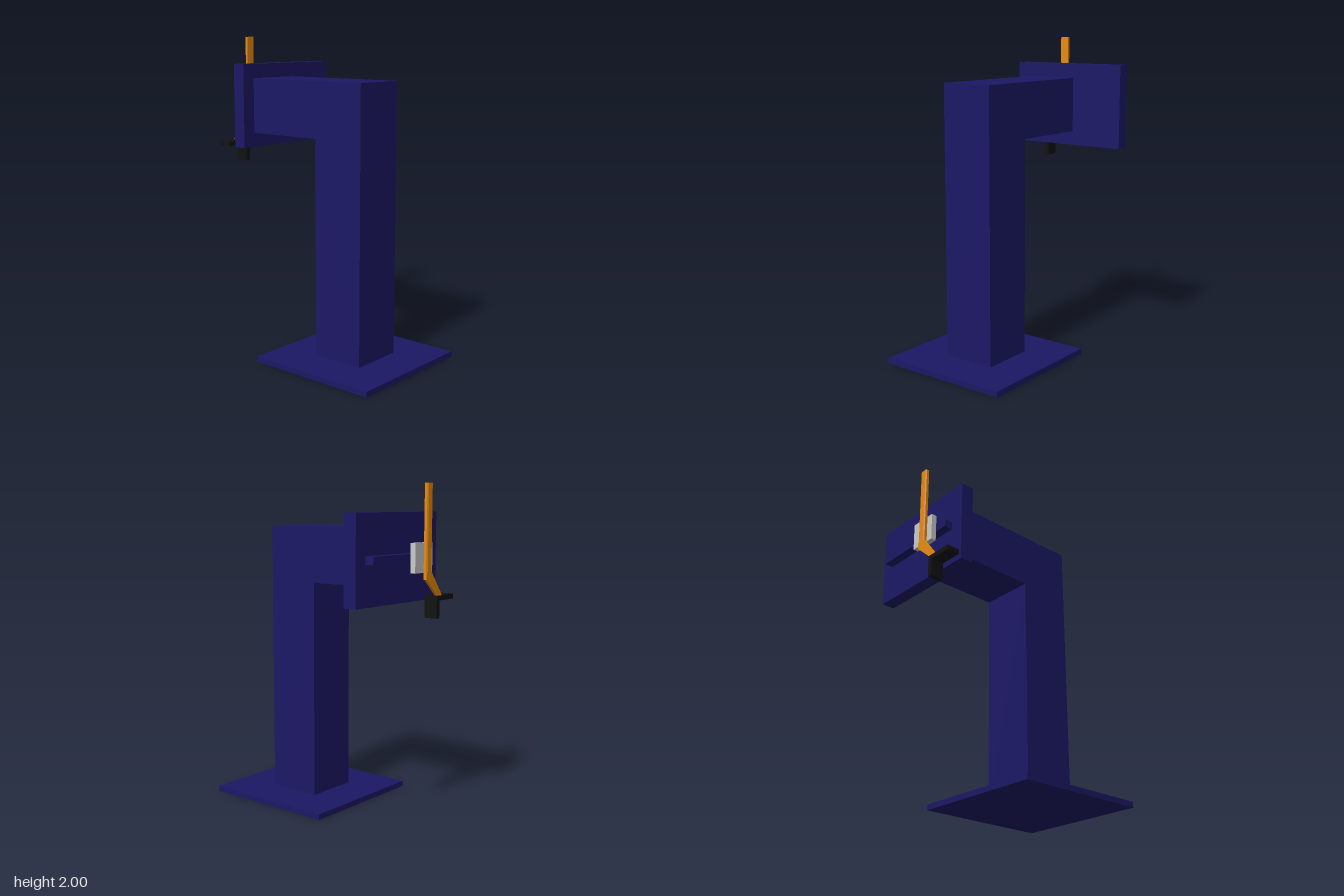
import * as THREE from 'three';

const mat = (color) => new THREE.MeshStandardMaterial({ color, flatShading: true });

export function createModel() {
  const model = new THREE.Group();
  const blue = mat(0x1c1866), orange = mat(0xe88b10), black = mat(0x111111), grey = mat(0xcccccc);

  const add = (name, geometry, material) => {
    const mesh = new THREE.Mesh(geometry, material);
    mesh.name = name;
    model.add(mesh);
    return mesh;
  };
  // box given by its limits along each axis
  const box = (name, material, [x0, x1], [y0, y1], [z0, z1]) =>
    add(name, new THREE.BoxGeometry(x1 - x0, y1 - y0, z1 - z0), material)
      .position.set((x0 + x1) / 2, (y0 + y1) / 2, (z0 + z1) / 2);
  // short cylinder lying along x
  const pin = (name, material, r, [x0, x1], y, z) => {
    const mesh = add(name, new THREE.CylinderGeometry(r, r, x1 - x0, 12), material);
    mesh.rotation.z = Math.PI / 2;
    mesh.position.set((x0 + x1) / 2, y, z);
  };
  const shape = (points) => new THREE.Shape(points.map(([x, y]) => new THREE.Vector2(x, y)));

  // stand: foot, and column with arm as one bent beam
  box('basePlate', blue, [-0.205, 0.665], [0, 0.035], [-0.39, 0.475]);
  const beam = new THREE.ExtrudeGeometry(
    shape([[0.055, 0.035], [0.402, 0.035], [0.402, 1.74], [-0.465, 1.74], [-0.465, 1.395], [0.055, 1.395]]),
    { depth: 0.345, bevelEnabled: false });
  add('columnAndArm', beam, blue).position.z = -0.13;

  // mounting panel with its slide rail
  box('panel', blue, [-0.55, -0.465], [1.305, 1.83], [-0.48, 0.303]);
  box('rail', blue, [-0.605, -0.55], [1.545, 1.592], [-0.395, 0.213]);

  // carriage and its rollers above and below the rail
  box('carriage', grey, [-0.641, -0.607], [1.48, 1.655], [-0.045, 0.13]);
  for (const y of [1.526, 1.61])
    for (const z of [-0.012, 0.096]) pin('roller', grey, 0.009, [-0.61, -0.598], y, z);
  pin('pivot', black, 0.022, [-0.655, -0.635], 1.567, 0.062);

  // upright rod with chamfered corners and a dark cap
  const section = shape([[-0.667, -0.045], [-0.662, -0.035], [-0.645, -0.035], [-0.645, -0.09],
    [-0.662, -0.09], [-0.667, -0.08]]);
  const rod = (y0, y1) => {
    const g = new THREE.ExtrudeGeometry(section, { depth: y1 - y0, bevelEnabled: false });
    return g.rotateX(-Math.PI / 2).translate(0, y0, 0);
  };
  add('rod', rod(1.44, 1.996), orange);
  add('rodCap', rod(1.996, 2), black);

  // slanted brace, drawn in z and y, then turned to stand across x
  const brace = new THREE.ExtrudeGeometry(
    shape([[-0.035, 1.44], [-0.145, 1.34], [-0.2, 1.34], [-0.09, 1.48], [-0.035, 1.48]]),
    { depth: 0.016, bevelEnabled: false });
  add('brace', brace.rotateY(Math.PI / 2).translate(-0.667, 0, 0), orange);

  // angled bracket below the brace
  box('bracketShelf', black, [-0.667, -0.582], [1.31, 1.34], [0.145, 0.322]);
  box('bracketFlange', black, [-0.667, -0.582], [1.203, 1.31], [0.145, 0.175]);

  return model;
}
